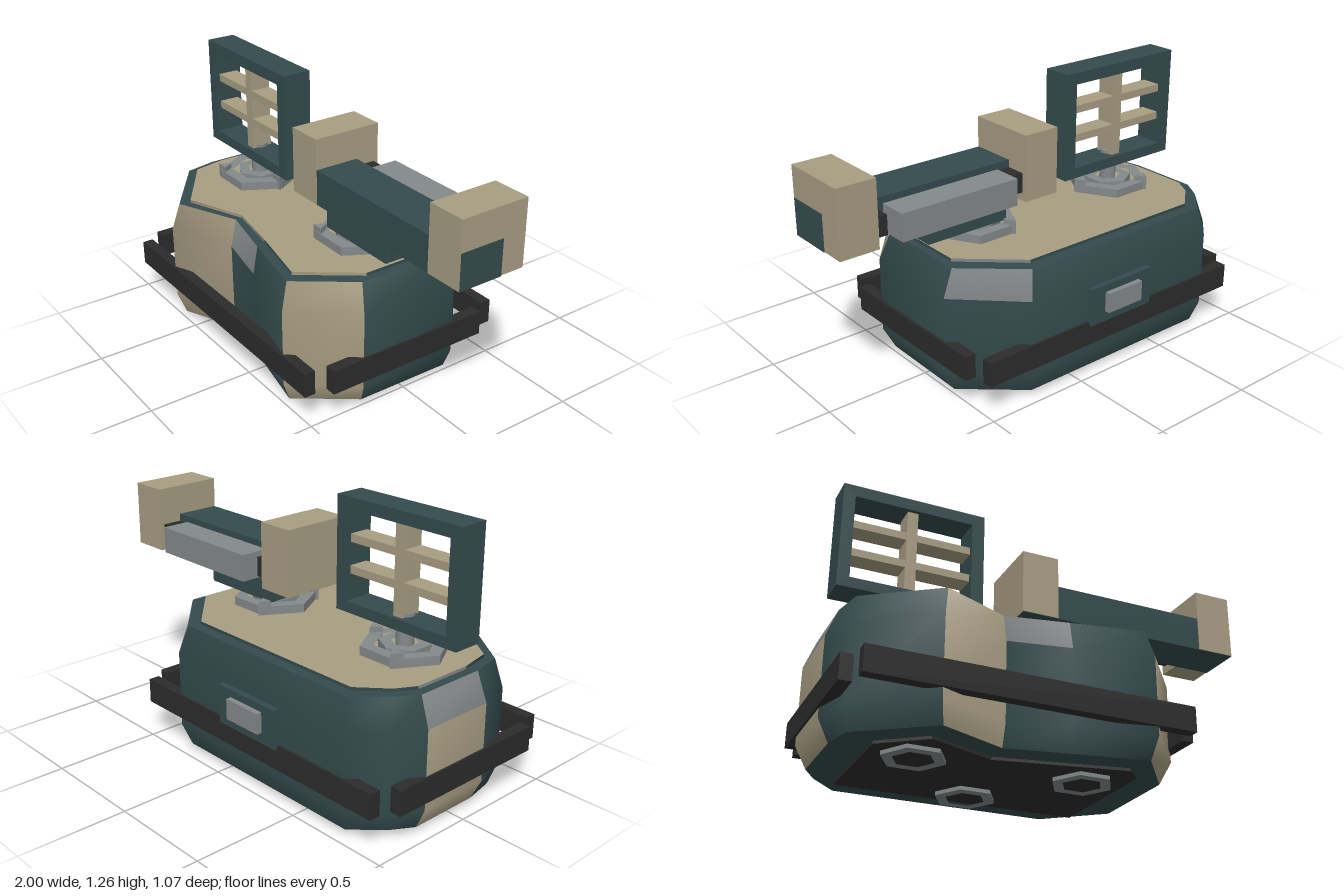
import * as THREE from 'three';

const mat = (name, color, extra = {}) => Object.assign(new THREE.MeshStandardMaterial({ color, ...extra }), { name });

export function createModel() {
  const root = new THREE.Group();
  const teal = mat('dark teal', 0x344b4d);
  const sand = mat('sand', 0xa79d82);
  const grey = mat('steel grey', 0x848989);
  const dark = mat('charcoal', 0x2c2c2d);

  const add = (name, geo, material, parent = root) => {
    const m = new THREE.Mesh(geo, material);
    m.name = name;
    parent.add(m);
    return m;
  };
  // box given by its min/max extents on each axis
  const box = (name, material, [x0, x1], [y0, y1], [z0, z1], parent) => {
    const m = add(name, new THREE.BoxGeometry(x1 - x0, y1 - y0, z1 - z0), material, parent);
    m.position.set((x0 + x1) / 2, (y0 + y1) / 2, (z0 + z1) / 2);
    return m;
  };
  const shapeOf = pts => new THREE.Shape(pts.map(([x, z]) => new THREE.Vector2(x, -z)));
  // flat slab from a footprint, standing on y0
  const slab = (shape, y0, y1) =>
    new THREE.ExtrudeGeometry(shape, { depth: y1 - y0, bevelEnabled: false }).rotateX(-Math.PI / 2).translate(0, y0, 0);
  const ngon = (n, r, start = 0) => Array.from({ length: n }, (_, i) => {
    const a = start + i * 2 * Math.PI / n;
    return [r * Math.cos(a), r * Math.sin(a)];
  });
  const hexRing = (outer, inner, y0, y1) => {
    const s = shapeOf(ngon(6, outer));
    s.holes.push(new THREE.Path(ngon(6, inner).map(([x, z]) => new THREE.Vector2(x, -z))));
    return slab(s, y0, y1);
  };

  // hull footprints: widest belt, bevelled edge, raised deck
  const belt = [[-0.78, -0.485], [0.28, -0.485], [0.55, -0.23], [0.55, 0.26], [0.33, 0.525], [-0.02, 0.445],
    [-0.3, 0.39], [-0.62, 0.525], [-0.94, 0.29], [-0.99, 0.12], [-0.99, -0.235], [-0.9, -0.37]];
  const edge = [[-0.76, -0.45], [0.25, -0.45], [0.505, -0.23], [0.5, 0.235], [0.31, 0.485], [-0.02, 0.42],
    [-0.3, 0.36], [-0.6, 0.49], [-0.91, 0.265], [-0.94, 0.115], [-0.94, -0.225], [-0.88, -0.325]];
  const deck = [[-0.73, -0.4], [0.22, -0.4], [0.47, -0.18], [0.47, 0.19], [0.28, 0.44], [-0.03, 0.375],
    [-0.3, 0.33], [-0.58, 0.44], [-0.87, 0.24], [-0.9, 0.09], [-0.9, -0.2], [-0.85, -0.29]];

  // wall through stacked rings; pick(edge, band) gives the material index
  const mats = [teal, sand, grey];
  const wall = (name, rings, pick) => {
    const n = belt.length, pos = [], index = [], geo = new THREE.BufferGeometry();
    rings.forEach(([pts, y]) => pts.forEach(([x, z]) => pos.push(x, y, z)));
    for (let b = 0; b < rings.length - 1; b++) {
      for (let i = 0; i < n; i++) {
        const a0 = b * n + i, b0 = b * n + (i + 1) % n, a1 = a0 + n, b1 = b0 + n;
        geo.addGroup(index.length, 6, pick(i, b));
        index.push(a0, a1, b0, b0, a1, b1);
      }
    }
    geo.setAttribute('position', new THREE.Float32BufferAttribute(pos, 3));
    geo.setIndex(index);
    geo.computeVertexNormals();
    return add(name, geo, mats);
  };
  const sandEdges = [3, 6, 9], greyEdges = [1, 5, 9];
  const panel = (i, top) => top && greyEdges.includes(i) ? 2 : sandEdges.includes(i) ? 1 : 0;

  wall('hull', [[edge, 0.03], [belt, 0.13], [belt, 0.49], [edge, 0.62]], (i, b) => panel(i, b === 2));
  wall('hullRim', [[edge, 0.62], [deck, 0.621]], () => 0);
  wall('deckEdge', [[deck, 0.62], [deck, 0.635]], i => panel(i, true));
  add('deck', new THREE.ShapeGeometry(shapeOf(deck)).rotateX(-Math.PI / 2).translate(0, 0.635, 0), sand);
  add('hullFloor', slab(shapeOf(edge), 0.03, 0.04), teal);

  // underside
  add('bellyPlate', slab(shapeOf([[-0.79, -0.33], [0.35, -0.33], [0.35, 0.3], [0.28, 0.37],
    [-0.3, 0.25], [-0.6, 0.37], [-0.79, 0.22]]), 0.017, 0.035), dark);
  for (const [x, z] of [[-0.6, 0.16], [-0.22, -0.23], [0.16, 0.16]]) {
    add('thrusterRing', hexRing(0.14, 0.09, 0, 0.03), grey).position.set(x, 0, z);
  }

  // bumpers
  for (const z of [0.51, -0.47]) box('longBumper', dark, [-0.94, 0.51], [0.17, 0.285], [z - 0.026, z + 0.026]);
  for (const x of [-0.973, 0.535]) box('sideBumper', dark, [x - 0.027, x + 0.027], [0.17, 0.285], [-0.39, 0.425]);

  // rear hatch
  box('hatchFrame', teal, [-0.4, -0.04], [0.27, 0.45], [-0.512, -0.47]);
  box('hatch', grey, [-0.32, -0.12], [0.32, 0.415], [-0.537, -0.5]);

  // turntables with three triangular lugs each
  for (const x of [-0.625, 0.19]) {
    const table = new THREE.Group();
    table.name = 'turntable';
    table.position.set(x, 0, 0.02);
    root.add(table);
    add('turntableRing', hexRing(0.195, 0.135, 0.635, 0.675), grey, table);
    add('turntableHub', hexRing(0.115, 0.06, 0.635, 0.68).rotateY(Math.PI / 6), grey, table);
    for (let i = 0; i < 3; i++) {
      const a = i * 2 * Math.PI / 3;
      add('lug', slab(shapeOf(ngon(3, 0.034, -Math.PI / 2)), 0.635, 0.7), grey, table)
        .position.set(0.172 * Math.cos(a), 0, 0.172 * Math.sin(a));
    }
    add('post', new THREE.CylinderGeometry(0.04, 0.04, 0.18, 12), grey, table).position.y = 0.725;
  }

  // sensor frame with cross bars
  const rect = (P, x0, x1, y0, y1) => new P([[x0, y0], [x1, y0], [x1, y1], [x0, y1]].map(p => new THREE.Vector2(...p)));
  const frame = rect(THREE.Shape, -0.955, -0.285, 0.75, 1.26);
  frame.holes.push(rect(THREE.Path, -0.9, -0.345, 0.8, 1.205));
  add('sensorFrame', new THREE.ExtrudeGeometry(frame, { depth: 0.14, bevelEnabled: false }).translate(0, 0, -0.05), teal);
  box('uprightBar', sand, [-0.65, -0.6], [0.8, 1.205], [-0.03, 0.07]);
  for (const y of [0.937, 1.077]) box('crossBar', sand, [-0.9, -0.345], [y - 0.018, y + 0.018], [-0.028, 0.068]);

  // arm with end blocks and side unit
  box('armNeck', teal, [0.1, 0.52], [0.68, 0.79], [-0.09, 0.13]);
  box('armBeam', teal, [-0.115, 1.0], [0.779, 0.945], [-0.06, 0.155]);
  for (const [x0, x1] of [[-0.118, 0.06], [0.815, 0.998]]) {
    box('endBlock', sand, [x0, x1], [0.781, 1.088], [-0.177, 0.158]);
  }
  for (const [x0, x1] of [[0.055, 0.115], [0.76, 0.82]]) box('clamp', dark, [x0, x1], [0.82, 0.91], [-0.155, -0.055]);
  box('sideUnit', grey, [0.14, 0.73], [0.8, 0.925], [-0.217, -0.08]);

  return root;
}
